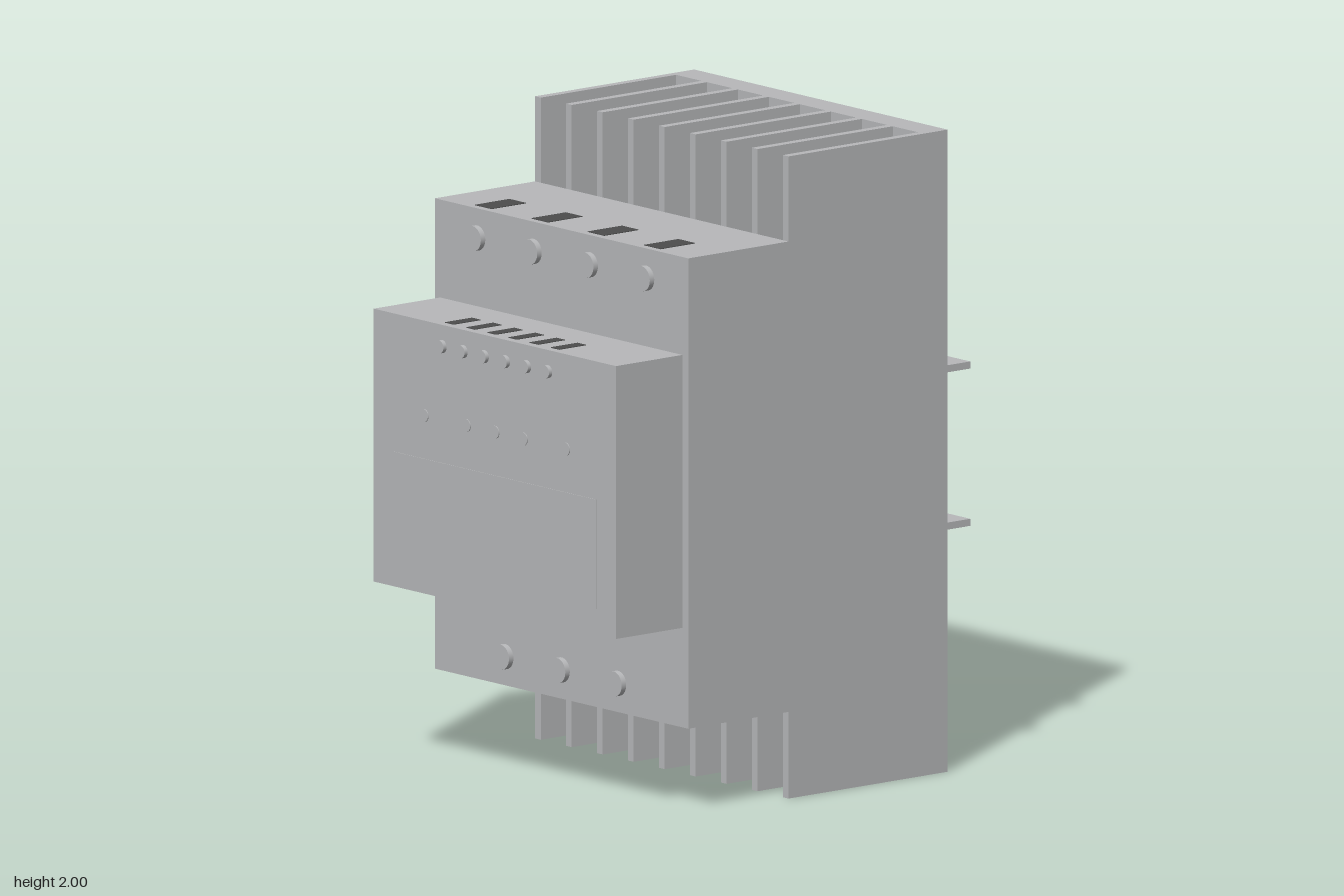
import * as THREE from 'three';

export function createModel() {
  const model = new THREE.Group();
  const casing = new THREE.MeshStandardMaterial({ color: 0xb7b8ba });
  casing.name = 'casing grey';
  const dark = new THREE.MeshStandardMaterial({ color: 0x4d4d4d });
  dark.name = 'slot dark grey';

  // Box given by its lower and upper limits on each axis
  const box = (name, [x0, x1], [y0, y1], [z0, z1], material = casing) => {
    const mesh = new THREE.Mesh(new THREE.BoxGeometry(x1 - x0, y1 - y0, z1 - z0), material);
    mesh.position.set((x0 + x1) / 2, (y0 + y1) / 2, (z0 + z1) / 2);
    mesh.name = name;
    model.add(mesh);
  };

  // Round stud facing forwards
  const stud = (name, x, y, z0, z1, radius) => {
    const geometry = new THREE.CylinderGeometry(radius, radius, z1 - z0, 32).rotateX(Math.PI / 2);
    const mesh = new THREE.Mesh(geometry, casing);
    mesh.position.set(x, y, (z0 + z1) / 2);
    mesh.name = name;
    model.add(mesh);
  };

  // Stepped housing
  box('backWall', [-0.6, 0.6], [0, 2], [-0.605, -0.51]);
  box('terminalBody', [-0.6, 0.6], [0.27, 1.735], [0.03, 0.43]);
  box('frontCover', [-0.575, 0.572], [0.58, 1.43], [0.43, 0.695]);

  // Cooling fins, with open channels running from top to bottom
  const fins = 9;
  const finWidth = 0.027;
  for (let i = 0; i < fins; i++) {
    const x = -0.6 + (i * (1.2 - finWidth)) / (fins - 1);
    box('coolingFin', [x, x + finWidth], [0, 2], [-0.51, 0.03]);
  }

  // Terminal screws and their wire slots, four above and three below
  for (const x of [-0.4, -0.133, 0.133, 0.4]) {
    stud('upperScrew', x, 1.643, 0.43, 0.448, 0.039);
    box('upperWireSlot', [x - 0.039, x + 0.039], [1.734, 1.737], [0.268, 0.405], dark);
  }
  for (const x of [-0.267, 0, 0.267]) {
    stud('lowerScrew', x, 0.36, 0.43, 0.448, 0.039);
    box('lowerWireSlot', [x - 0.039, x + 0.039], [0.268, 0.271], [0.268, 0.405], dark);
  }

  // Indicator lamps with slots above them
  for (let i = 0; i < 6; i++) {
    const x = -0.25 + i * 0.1;
    stud('indicatorLamp', x, 1.363, 0.695, 0.708, 0.02);
    box('indicatorSlot', [x - 0.02, x + 0.02], [1.429, 1.432], [0.56, 0.667], dark);
  }

  // Flat buttons and label panel on the cover
  for (const x of [-0.335, -0.135, 0, 0.135, 0.335]) {
    stud('frontButton', x, 1.135, 0.695, 0.698, 0.02);
  }
  box('labelPanel', [-0.48, 0.48], [0.66, 1.0], [0.695, 0.697]);

  // Mounting rails and release clip at the back
  for (const y of [0.75, 1.24]) {
    box('mountingRail', [-0.585, 0.585], [y, y + 0.022], [-0.708, -0.605]);
  }
  box('railClip', [-0.035, 0.035], [0.645, 0.75], [-0.648, -0.605]);

  return model;
}
